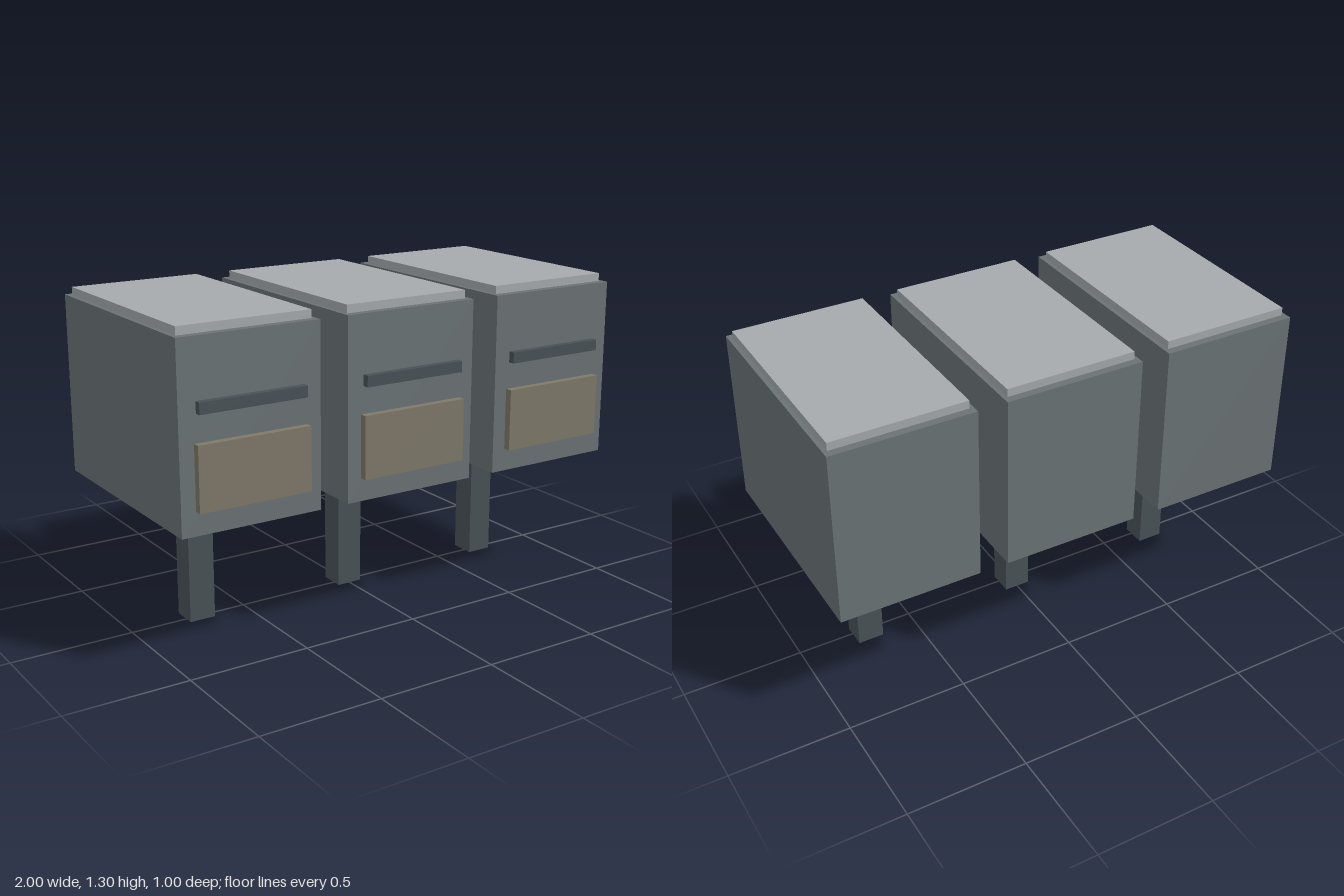
import * as THREE from 'three';

const paint = (color) => new THREE.MeshStandardMaterial({ color });

// Box given by its width, its y range and its z range, centred on x = 0
function block(name, material, width, [y0, y1], [z0, z1]) {
  const mesh = new THREE.Mesh(new THREE.BoxGeometry(width, y1 - y0, z1 - z0), material);
  mesh.position.set(0, (y0 + y1) / 2, (z0 + z1) / 2);
  mesh.name = name;
  return mesh;
}

export function createModel() {
  const model = new THREE.Group();
  model.name = 'mailboxRow';

  const bodyGrey = paint(0x6b7375);
  const lidGrey = paint(0xa6aaad);
  const darkGrey = paint(0x495257);
  const tan = paint(0x7e7969);

  // Three identical boxes on posts, side by side
  ['right', 'middle', 'left'].forEach((side, i) => {
    const mailbox = new THREE.Group();
    mailbox.name = `${side}Mailbox`;
    mailbox.add(
      block('post', darkGrey, 0.11, [0, 0.54], [-0.068, 0.038]),
      block('body', bodyGrey, 0.586, [0.537, 1.27], [-0.5, 0.47]),
      block('lid', lidGrey, 0.552, [1.27, 1.303], [-0.467, 0.437]),
      block('slot', darkGrey, 0.445, [0.992, 1.037], [0.47, 0.497]),
      block('frontPanel', tan, 0.467, [0.63, 0.883], [0.47, 0.5]),
    );
    mailbox.position.x = (i - 1) * 0.707;
    model.add(mailbox);
  });

  return model;
}
